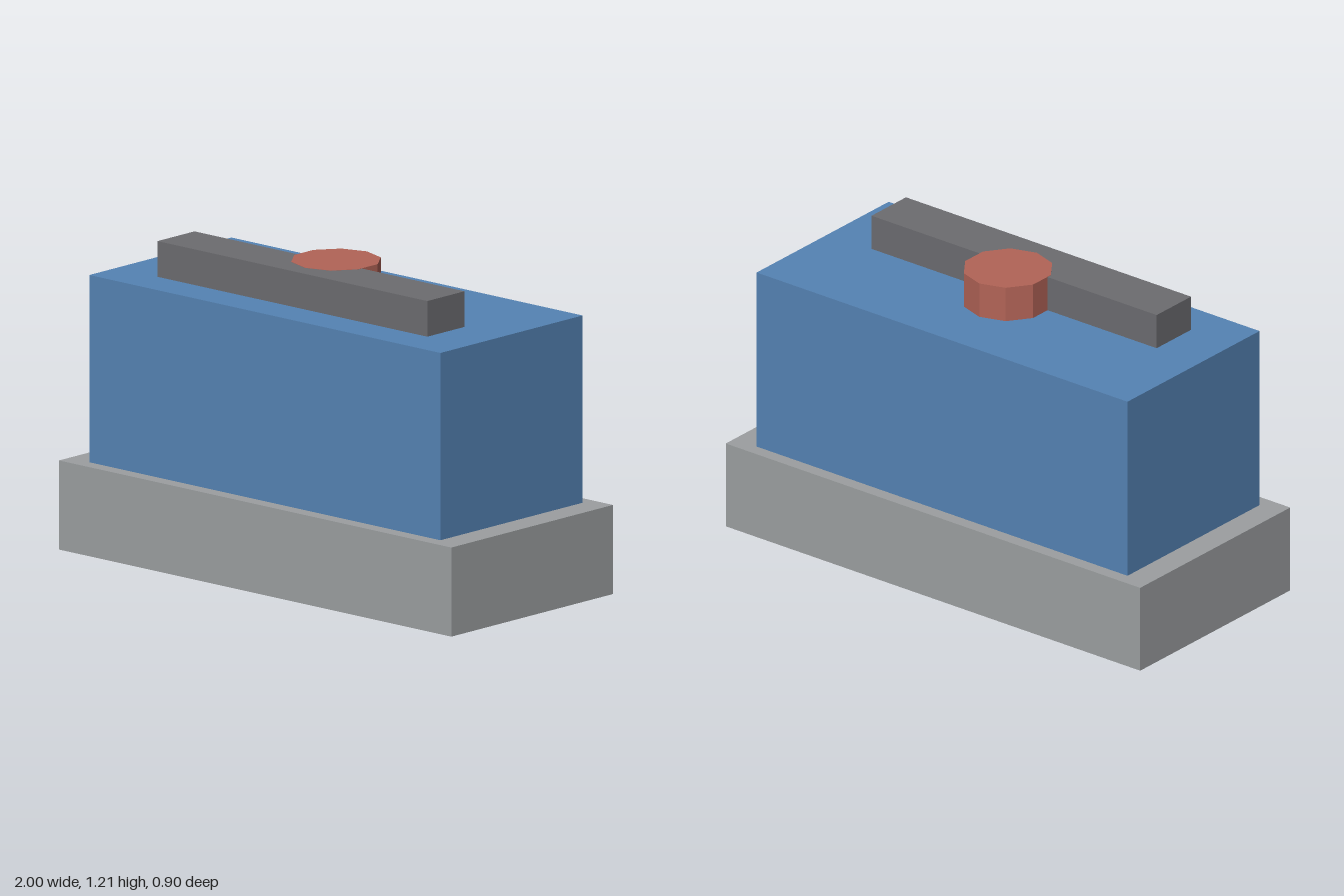
import * as THREE from 'three';

const material = (name, color) => {
  const m = new THREE.MeshStandardMaterial({ color });
  m.name = name;
  return m;
};

export function createModel() {
  const group = new THREE.Group();
  group.name = 'model';

  const lightGrey = material('lightGrey', 0x9c9fa1);
  const blue = material('blue', 0x5583b4);
  const darkGrey = material('darkGrey', 0x6c6c70);
  const red = material('red', 0xb26457);
  red.flatShading = true;

  // Box given by its lowest and highest corners
  const box = (name, mat, [x0, y0, z0], [x1, y1, z1]) => {
    const mesh = new THREE.Mesh(new THREE.BoxGeometry(x1 - x0, y1 - y0, z1 - z0), mat);
    mesh.position.set((x0 + x1) / 2, (y0 + y1) / 2, (z0 + z1) / 2);
    mesh.name = name;
    group.add(mesh);
  };

  box('base', lightGrey, [-1, 0, -0.449], [1, 0.345, 0.449]);
  box('body', blue, [-0.897, 0.345, -0.397], [0.893, 1.07, 0.393]);
  box('topBar', darkGrey, [-0.69, 1.07, 0.034], [0.686, 1.208, 0.24]);

  // Ten-sided knob, a hair above the bar so its top face stays clear
  const height = 0.139;
  const knob = new THREE.Mesh(new THREE.CylinderGeometry(0.172, 0.172, height, 10), red);
  knob.position.set(0, 1.07 + height / 2, 0);
  knob.name = 'knob';
  group.add(knob);

  return group;
}
